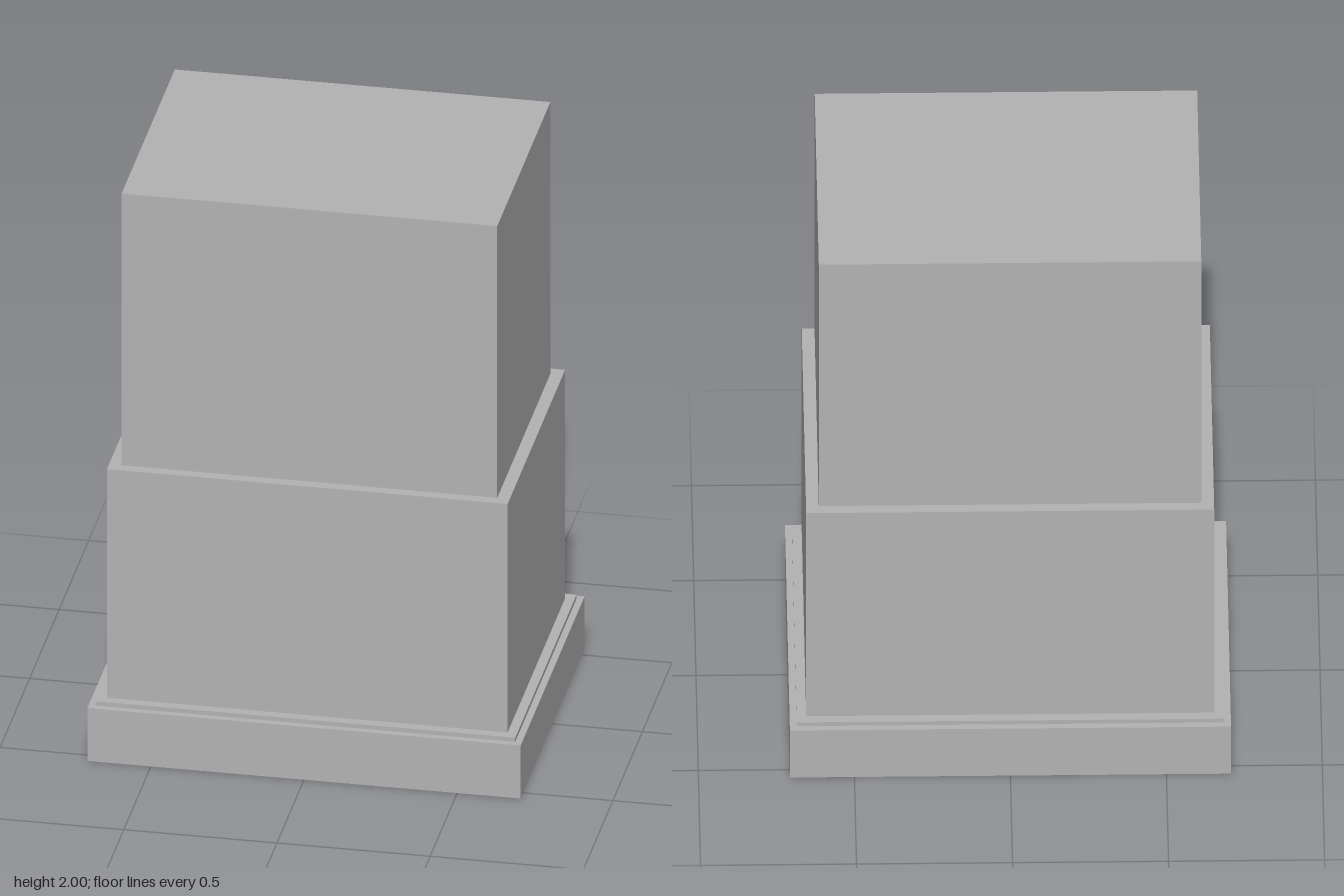
import * as THREE from 'three';

export function createModel() {
  const model = new THREE.Group();
  model.name = 'steppedPedestal';
  const stone = new THREE.MeshStandardMaterial({ color: 0xb3b3b3 });
  stone.name = 'grey stone';

  // Stacked blocks from the ground up: name, width, depth, bottom, top
  const tiers = [
    ['basePlinth', 1.414, 1.083, 0, 0.19],
    ['baseStep', 1.37, 1.038, 0.19, 0.205],
    ['lowerBlock', 1.308, 0.973, 0.205, 1.025],
    ['upperBlock', 1.226, 0.9, 1.025, 2],
  ];
  for (const [name, width, depth, bottom, top] of tiers) {
    const tier = new THREE.Mesh(new THREE.BoxGeometry(width, top - bottom, depth), stone);
    tier.name = name;
    tier.position.y = (bottom + top) / 2;
    model.add(tier);
  }
  return model;
}
